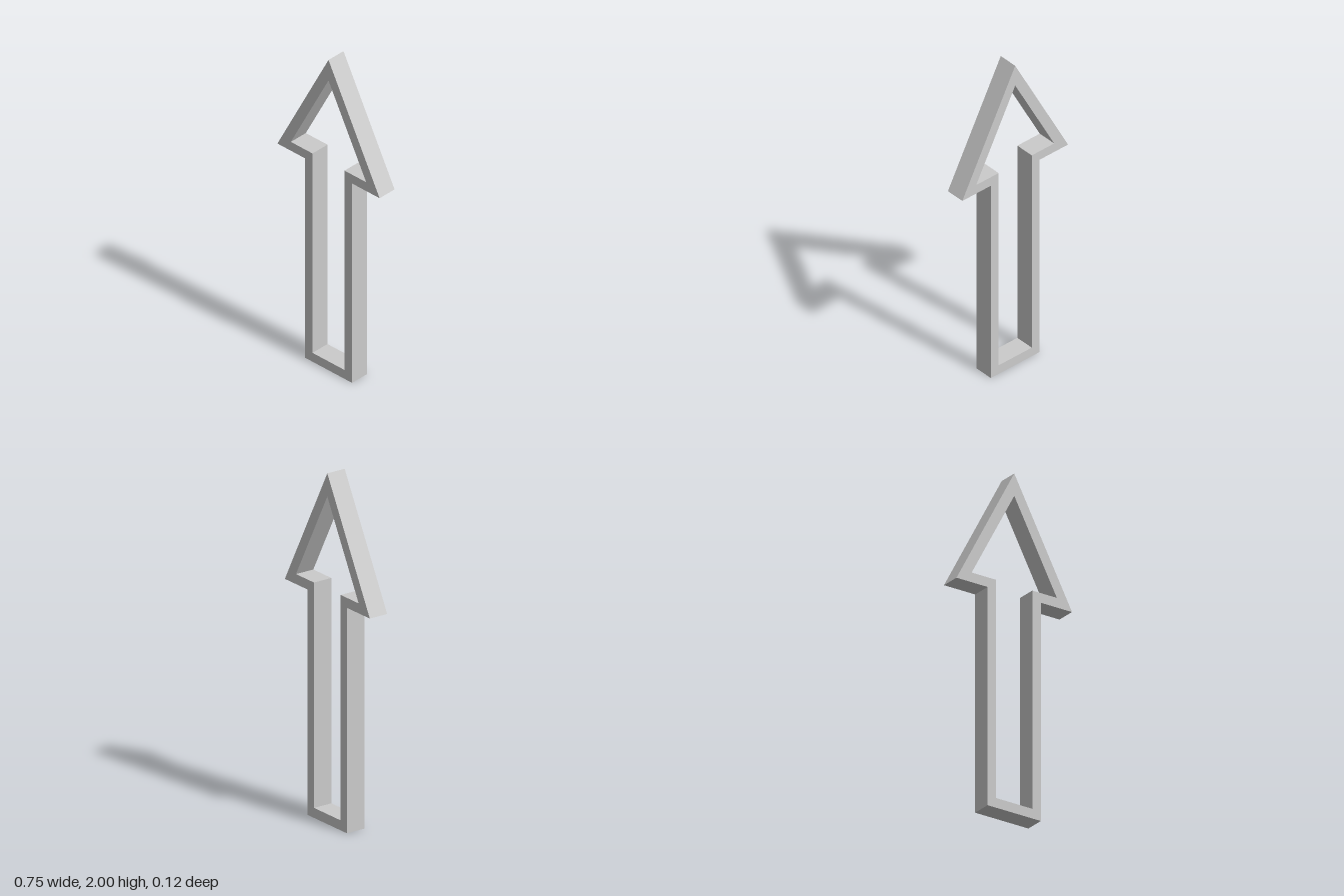
import * as THREE from 'three';

// Half profiles on the +x side, bottom to wing tip; the apex closes each one
const OUTER = [[0.174, 0], [0.174, 1.285], [0.377, 1.285]];
const INNER = [[0.118, 0.057], [0.118, 1.342], [0.278, 1.342]];
const DEPTH = 0.116;

// Mirror a half profile into a full closed arrow outline
function arrowOutline(half, apexY) {
  const right = half.map(([x, y]) => new THREE.Vector2(x, y));
  const left = half.map(([x, y]) => new THREE.Vector2(-x, y)).reverse();
  return [...right, new THREE.Vector2(0, apexY), ...left];
}

export function createModel() {
  const group = new THREE.Group();
  group.name = 'arrow';

  // Upright arrow frame with an arrow-shaped opening
  const shape = new THREE.Shape(arrowOutline(OUTER, 2));
  shape.holes.push(new THREE.Path(arrowOutline(INNER, 1.868)));
  const geometry = new THREE.ExtrudeGeometry(shape, { depth: DEPTH, bevelEnabled: false });
  geometry.translate(0, 0, -DEPTH / 2);

  const material = new THREE.MeshStandardMaterial({ color: 0xcccccc, flatShading: true });
  const frame = new THREE.Mesh(geometry, material);
  frame.name = 'arrowFrame';
  group.add(frame);
  return group;
}
